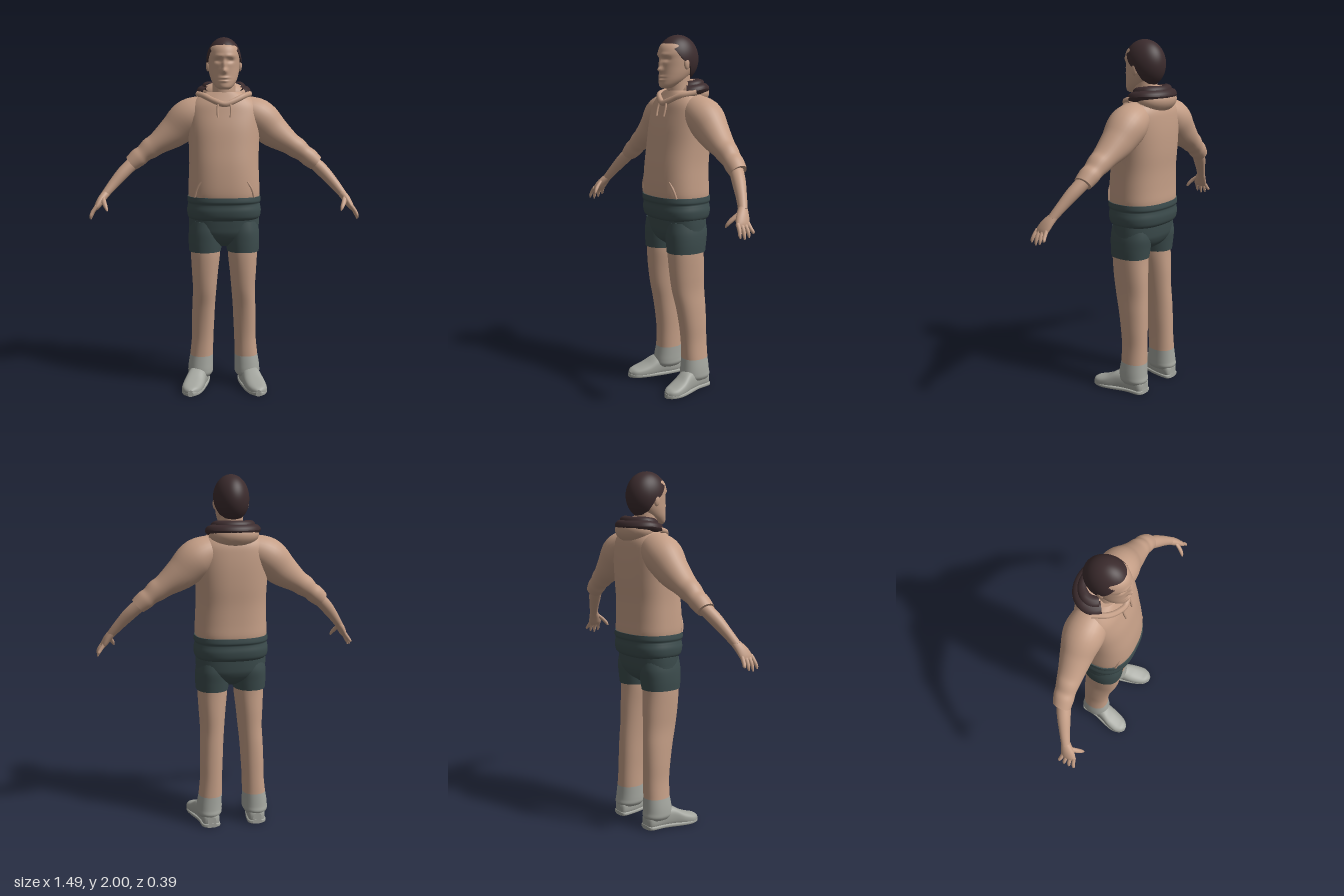
import * as THREE from 'three';

const mat = (name, color) => Object.assign(new THREE.MeshStandardMaterial({ color }), { name });

// Catmull-Rom sample of rows of numbers at t in 0..1
function sample(rows, t) {
  const s = t * (rows.length - 1), i = Math.min(Math.floor(s), rows.length - 2), f = s - i;
  const row = k => rows[Math.max(0, Math.min(rows.length - 1, k))];
  return rows[i].map((b, k) => {
    const a = row(i - 1)[k], c = row(i + 1)[k], d = row(i + 2)[k];
    return b + 0.5 * f * (c - a + f * (2 * a - 5 * b + 4 * c - d + f * (3 * (b - c) + d - a)));
  });
}

// Builds an indexed surface from a grid of points, wrapped around, with end caps
function skin(grid, caps = true) {
  const n = grid[0].length, pos = grid.flat(2), idx = [];
  for (let i = 0; i < grid.length - 1; i++) for (let j = 0; j < n; j++) {
    const a = i * n + j, b = i * n + (j + 1) % n;
    idx.push(a, b, a + n, b, b + n, a + n);
  }
  if (caps) [grid[0], grid[grid.length - 1]].forEach((ring, end) => {
    const base = pos.length / 3;
    pos.push(...ring.flat(), ...[0, 1, 2].map(k => ring.reduce((s, p) => s + p[k], 0) / n));
    for (let j = 0; j < n; j++) {
      const a = base + j, b = base + (j + 1) % n;
      idx.push(base + n, ...(end ? [a, b] : [b, a]));
    }
  });
  // face outwards: flip when the signed volume is negative
  let vol = 0;
  const p = k => new THREE.Vector3().fromArray(pos, 3 * k);
  for (let i = 0; i < idx.length; i += 3) vol += p(idx[i]).dot(p(idx[i + 1]).cross(p(idx[i + 2])));
  if (vol < 0) idx.reverse();
  const g = new THREE.BufferGeometry();
  g.setAttribute('position', new THREE.Float32BufferAttribute(pos, 3));
  g.setIndex(idx);
  g.computeVertexNormals();
  return g;
}

// Loft of rows [x, y, z, a, b]; axis 'y' = level rings, 'z' = upright rings, 'limb' = across the path
function loft(rows, { axis = 'y', power = 2, steps = 24, segs = 32, warp } = {}) {
  const grid = [], pw = v => Math.sign(v) * Math.abs(v) ** (2 / power);
  for (let i = 0; i <= steps; i++) {
    const t = i / steps, [x, y, z, a, b] = sample(rows, t);
    const e = sample(rows, Math.min(1, t + 0.01)), s = sample(rows, Math.max(0, t - 0.01));
    const len = Math.hypot(e[0] - s[0], e[1] - s[1]) || 1;
    const u = axis === 'limb' ? [-(e[1] - s[1]) / len, (e[0] - s[0]) / len, 0] : [1, 0, 0];
    const v = axis === 'z' ? [0, 1, 0] : [0, 0, 1];
    const ring = [];
    for (let j = 0; j < segs; j++) {
      const q = j / segs * Math.PI * 2, c = a * pw(Math.cos(q)), d = b * pw(Math.sin(q));
      const pt = [x + u[0] * c + v[0] * d, y + u[1] * c + v[1] * d, z + u[2] * c + v[2] * d];
      ring.push(warp ? warp(pt) : pt);
    }
    grid.push(ring);
  }
  return skin(grid);
}

// Body rows [y, half width, front z, back z]
const body = rows => rows.map(([y, w, f, b]) => [0, y, (f + b) / 2, w, (f - b) / 2]);
const tube = (pts, r, n = 24) => new THREE.TubeGeometry(
  new THREE.CatmullRomCurve3(pts.map(p => new THREE.Vector3(...p))), n, r, 8);
const ball = (x, y, z, a, b, c) => new THREE.SphereGeometry(1, 24, 16).scale(a, b, c).translate(x, y, z);

function mirrored(geometry) {
  const g = geometry.clone().scale(-1, 1, 1);
  g.setIndex([...g.index.array].reverse());
  return g;
}

export function createModel() {
  const model = new THREE.Group();
  const tan = mat('tan', 0xc49e86), teal = mat('dark teal', 0x3c4c4d);
  const brown = mat('dark brown', 0x3c2c2e), grey = mat('grey', 0xa3a59e);
  const add = (name, g, m) => {
    const mesh = new THREE.Mesh(g, m);
    mesh.name = name;
    model.add(mesh);
  };
  const pair = (name, g, m) => {
    add(name + 'Left', g, m);
    add(name + 'Right', mirrored(g), m);
  };

  // Hooded top
  add('torso', loft(body([
    [1.09, 0.195, 0.145, -0.16], [1.13, 0.202, 0.154, -0.168], [1.2, 0.2, 0.154, -0.166],
    [1.3, 0.196, 0.146, -0.166], [1.4, 0.198, 0.13, -0.172], [1.5, 0.203, 0.112, -0.173],
    [1.58, 0.205, 0.09, -0.168], [1.63, 0.19, 0.075, -0.16], [1.67, 0.15, 0.055, -0.14],
    [1.7, 0.09, 0.04, -0.11]]), { power: 2.4, steps: 36, segs: 48 }), tan);
  pair('sleeve', loft([
    [0.08, 1.61, -0.05, 0.075, 0.085], [0.19, 1.56, -0.055, 0.105, 0.108], [0.28, 1.48, -0.055, 0.092, 0.09],
    [0.375, 1.412, -0.047, 0.064, 0.07], [0.42, 1.382, -0.043, 0.06, 0.062], [0.455, 1.355, -0.04, 0.05, 0.056],
    [0.485, 1.332, -0.036, 0.052, 0.056], [0.523, 1.3, -0.03, 0.045, 0.05]], { axis: 'limb', steps: 36 }), tan);
  add('hoodPouch', ball(0, 1.685, -0.095, 0.138, 0.075, 0.098), tan);
  add('collar', tube([[-0.145, 1.69, -0.04], [-0.105, 1.675, 0.03], [-0.05, 1.648, 0.065], [0, 1.632, 0.078],
    [0.05, 1.648, 0.065], [0.105, 1.675, 0.03], [0.145, 1.69, -0.04]], 0.017, 40), tan);
  pair('drawstring', tube([[0.03, 1.65, 0.078], [0.037, 1.61, 0.088], [0.035, 1.56, 0.1]], 0.006, 10), tan);
  pair('pocketSeam', tube([[0.125, 1.21, 0.125], [0.15, 1.17, 0.117], [0.165, 1.12, 0.105]], 0.006, 10), tan);

  // Folded hood lining, lower towards the throat
  const roll = (radius, thick, height, arc) => {
    const g = new THREE.TorusGeometry(radius, thick, 14, 48, arc);
    g.rotateZ(Math.PI / 2 - arc / 2).rotateX(-Math.PI / 2).scale(1, 0.75, 0.8);
    const p = g.attributes.position;
    for (let i = 0; i < p.count; i++) p.setY(i, p.getY(i) + height - 0.15 * Math.max(0, p.getZ(i) + 0.03));
    g.translate(0, 0, -0.07).computeVertexNormals();
    return g;
  };
  add('hoodLining', roll(0.113, 0.04, 1.71, 4.5), brown);
  add('hoodLiningUpper', roll(0.09, 0.032, 1.737, 4.3), brown);

  // Neck and face, shaped by smooth bumps
  add('neck', loft(body([[1.6, 0.08, 0.04, -0.1], [1.7, 0.066, 0.042, -0.09], [1.8, 0.062, 0.035, -0.09]])), tan);
  const bump = (x, y, w, h) => Math.exp(-((x / w) ** 2) - (y / h) ** 2);
  const face = ([x, y, z]) => {
    if (z < 0.02) return [x, y, z];
    const ax = Math.abs(x);
    return [x, y, z + 0.022 * bump(x, y - 1.812, 0.014, 0.014) + 0.012 * bump(x, y - 1.842, 0.01, 0.025)
      - 0.013 * bump(ax - 0.034, y - 1.868, 0.019, 0.012) + 0.006 * bump(ax - 0.03, y - 1.893, 0.03, 0.01)
      + 0.007 * bump(x, y - 1.775, 0.024, 0.007) + 0.007 * bump(x, y - 1.757, 0.02, 0.006)
      - 0.004 * bump(x, y - 1.766, 0.03, 0.003)];
  };
  add('head', loft(body([
    [1.712, 0.022, 0.085, 0.03], [1.725, 0.044, 0.097, 0], [1.755, 0.066, 0.096, -0.05], [1.79, 0.079, 0.093, -0.09],
    [1.83, 0.086, 0.093, -0.12], [1.87, 0.089, 0.096, -0.13], [1.91, 0.089, 0.097, -0.128],
    [1.945, 0.078, 0.082, -0.11], [1.97, 0.055, 0.045, -0.08], [1.985, 0.02, 0, -0.04]]),
  { steps: 72, segs: 72, warp: face }), tan);
  pair('ear', ball(0.09, 1.845, -0.012, 0.011, 0.032, 0.018).rotateY(0.05), tan);

  // Hair cap: skull ellipsoid trimmed at a hairline, by angle from the front
  const hairline = [[0, 1.955], [0.6, 1.947], [1, 1.91], [1.35, 1.865], [1.65, 1.845], [1.95, 1.79], [2.4, 1.768], [3.2, 1.762]];
  const lineAt = q => {
    const k = Math.max(1, hairline.findIndex(h => h[0] >= q)), [a, b] = [hairline[k - 1], hairline[k]];
    return a[1] + (b[1] - a[1]) * (q - a[0]) / (b[0] - a[0]);
  };
  const hairGrid = [];
  for (let i = 0; i <= 24; i++) {
    hairGrid.push(Array.from({ length: 64 }, (_, j) => {
      const q = j / 64 * Math.PI * 2;
      const polar = Math.acos((lineAt(Math.min(q, Math.PI * 2 - q)) - 1.87) / 0.13) * Math.max(i / 24, 0.002);
      return [0.098 * Math.sin(q) * Math.sin(polar), 1.87 + 0.13 * Math.cos(polar),
        -0.02 + 0.122 * Math.cos(q) * Math.sin(polar)];
    }));
  }
  add('hair', skin(hairGrid), brown);

  // Forearms and hands
  pair('forearm', loft([
    [0.49, 1.325, -0.035, 0.036, 0.04], [0.56, 1.258, -0.003, 0.036, 0.038],
    [0.62, 1.19, 0.028, 0.029, 0.03], [0.668, 1.13, 0.056, 0.022, 0.026]], { axis: 'limb' }), tan);
  pair('palm', loft([
    [0.655, 1.145, 0.05, 0.022, 0.026], [0.682, 1.11, 0.072, 0.022, 0.038],
    [0.703, 1.075, 0.086, 0.018, 0.042], [0.714, 1.055, 0.09, 0.011, 0.036]], { axis: 'limb', steps: 14 }), tan);
  for (let i = 0; i < 4; i++) {
    const z = 0.058 + 0.021 * i, drop = [0.025, 0.007, 0, 0.01][i], spread = (i - 1.5) * 0.007;
    pair('finger' + (i + 1), loft([
      [0.705, 1.075, z, 0.011, 0.011], [0.727, 1.045, z + spread * 0.5, 0.01, 0.0105],
      [0.737, 1.018 + drop / 2, z + spread, 0.008, 0.009], [0.741, 0.998 + drop, z + spread, 0.003, 0.004]],
    { axis: 'limb', steps: 10, segs: 12 }), tan);
  }
  pair('thumb', loft([
    [0.678, 1.12, 0.085, 0.014, 0.014], [0.664, 1.092, 0.118, 0.013, 0.014],
    [0.652, 1.068, 0.138, 0.01, 0.011], [0.645, 1.05, 0.147, 0.004, 0.005]],
  { axis: 'limb', steps: 10, segs: 12 }), tan);

  // Shorts with a rolled waistband
  add('waistband', loft(body([
    [0.985, 0.185, 0.12, -0.14], [1.003, 0.204, 0.145, -0.163], [1.04, 0.21, 0.154, -0.171],
    [1.07, 0.205, 0.152, -0.168], [1.082, 0.203, 0.153, -0.168], [1.095, 0.208, 0.16, -0.174],
    [1.12, 0.206, 0.158, -0.172]]), { power: 2.4, steps: 30, segs: 48 }), teal);
  add('shortsHips', loft(body([
    [0.835, 0.04, 0.05, -0.06], [0.87, 0.13, 0.095, -0.11], [0.91, 0.19, 0.116, -0.134],
    [0.95, 0.199, 0.123, -0.142], [1.02, 0.2, 0.13, -0.147]]), { power: 2.3, segs: 48 }), teal);
  pair('shortsLeg', loft([
    [0.108, 0.806, 0, 0.091, 0.113], [0.106, 0.86, -0.002, 0.096, 0.118],
    [0.104, 0.92, -0.005, 0.096, 0.122], [0.1, 0.98, -0.005, 0.09, 0.115]], { power: 2.2 }), teal);

  // Trouser legs
  pair('leg', loft([
    [0.106, 0.85, 0, 0.084, 0.106], [0.106, 0.78, 0, 0.083, 0.107], [0.109, 0.68, -0.006, 0.075, 0.106],
    [0.111, 0.58, -0.014, 0.068, 0.1], [0.117, 0.48, -0.028, 0.066, 0.09], [0.121, 0.38, -0.038, 0.065, 0.082],
    [0.124, 0.28, -0.044, 0.063, 0.077], [0.13, 0.18, -0.046, 0.067, 0.077]], { steps: 32, power: 2.2 }), tan);

  // Cuffs and shoes
  pair('cuff', loft([
    [0.13, 0.18, -0.046, 0.067, 0.077], [0.134, 0.135, -0.044, 0.071, 0.082],
    [0.136, 0.1, -0.043, 0.073, 0.086], [0.137, 0.075, -0.045, 0.072, 0.088],
    [0.138, 0.055, -0.046, 0.06, 0.076]], { power: 2.2 }), grey);
  pair('shoe', loft([
    [0.135, 0.035, -0.128, 0.025, 0.03], [0.136, 0.045, -0.11, 0.048, 0.045], [0.14, 0.055, -0.04, 0.053, 0.06],
    [0.157, 0.055, 0.03, 0.055, 0.06], [0.174, 0.038, 0.09, 0.06, 0.042], [0.186, 0.028, 0.14, 0.056, 0.032],
    [0.19, 0.024, 0.175, 0.04, 0.026], [0.192, 0.022, 0.194, 0.014, 0.014]],
  { axis: 'z', power: 2.6, steps: 30, warp: ([x, y, z]) => [x, Math.max(0, y), z] }), grey);
  pair('shoeSole', loft([
    [0.135, 0.012, -0.13, 0.028, 0.012], [0.136, 0.012, -0.112, 0.053, 0.012], [0.143, 0.012, -0.03, 0.056, 0.012],
    [0.167, 0.012, 0.06, 0.062, 0.012], [0.182, 0.012, 0.12, 0.061, 0.012], [0.189, 0.012, 0.17, 0.045, 0.012],
    [0.192, 0.013, 0.196, 0.016, 0.012]], { axis: 'z', power: 4, steps: 24 }), grey);

  return model;
}
